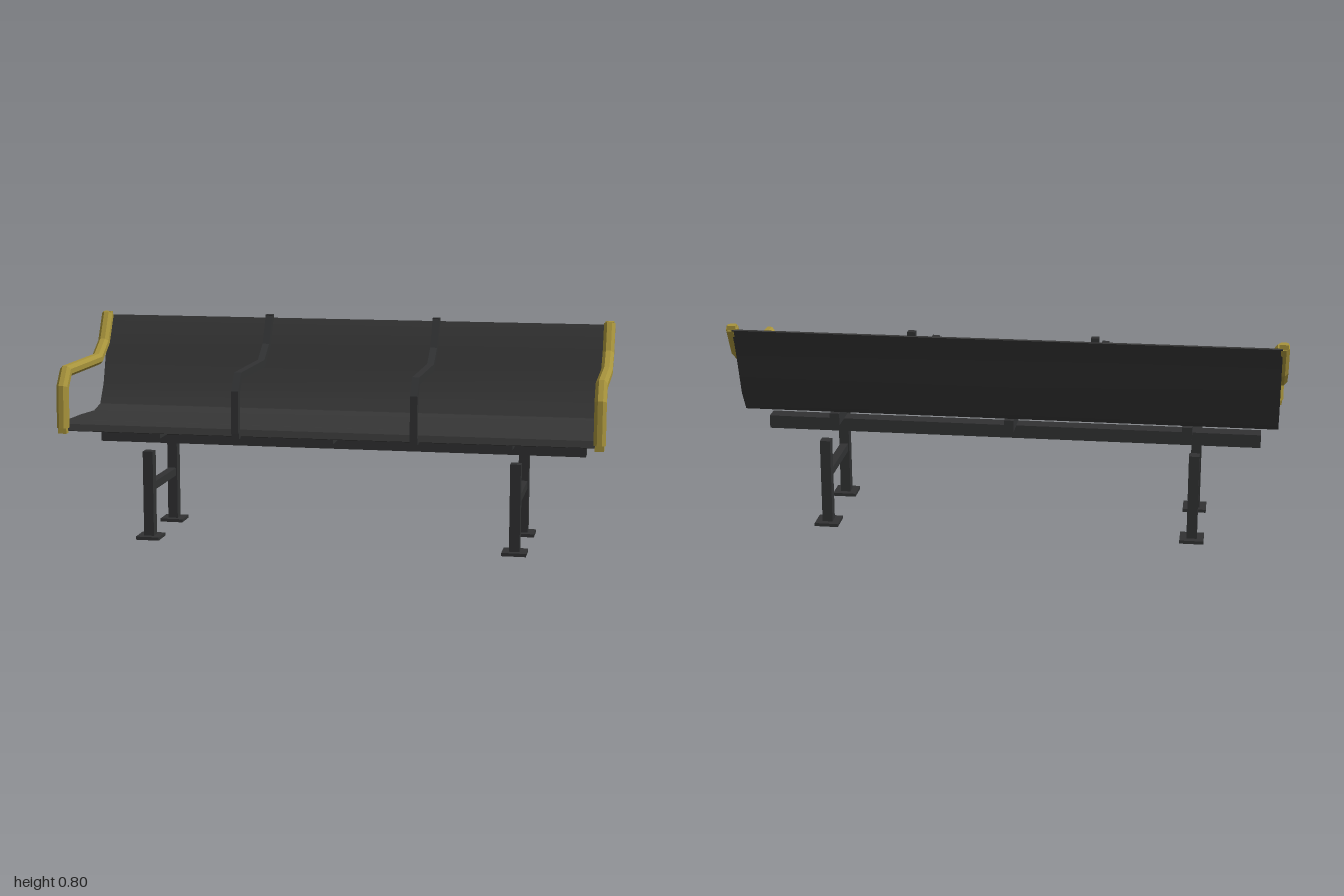
import * as THREE from 'three';
import { toCreasedNormals } from 'three/addons/utils/BufferGeometryUtils.js';

// Sweeps a convex section [normal, x] along a path of [z, y] points with mitred corners.
function sweep(path, section, crease = 0) {
  const dir = (a, b) => new THREE.Vector2(b[0] - a[0], b[1] - a[1]).normalize();
  const rings = path.map((p, i) => {
    const d0 = dir(path[Math.max(i - 1, 0)], path[Math.max(i, 1)]);
    const last = path.length - 1;
    const d1 = dir(path[Math.min(i, last - 1)], path[Math.min(i + 1, last)]);
    const t = d0.clone().add(d1).normalize();
    const mitre = 1 / t.dot(d1);
    return section.map(([a, b]) => [b, p[1] - t.x * a * mitre, p[0] + t.y * a * mitre]);
  });
  const pos = [];
  const tri = (...corners) => corners.forEach((c) => pos.push(...c));
  const n = section.length;
  for (let i = 0; i < rings.length - 1; i++) {
    for (let j = 0; j < n; j++) {
      const k = (j + 1) % n;
      tri(rings[i][j], rings[i][k], rings[i + 1][k]);
      tri(rings[i][j], rings[i + 1][k], rings[i + 1][j]);
    }
  }
  const first = rings[0], end = rings[rings.length - 1];
  for (let j = 1; j < n - 1; j++) {
    tri(first[0], first[j + 1], first[j]);
    tri(end[0], end[j], end[j + 1]);
  }
  const geo = new THREE.BufferGeometry();
  geo.setAttribute('position', new THREE.Float32BufferAttribute(pos, 3));
  if (crease) return toCreasedNormals(geo, crease);
  geo.computeVertexNormals();
  return geo;
}

const rect = (a, b) => [[a, -b], [a, b], [-a, b], [-a, -b]];

export function createModel() {
  const bench = new THREE.Group();
  bench.name = 'bench';

  const gold = new THREE.MeshStandardMaterial({ color: 0xa8943c });
  gold.name = 'gold';
  const seatGrey = new THREE.MeshStandardMaterial({ color: 0x363636 });
  seatGrey.name = 'seat grey';
  const frameGrey = new THREE.MeshStandardMaterial({ color: 0x313233 });
  frameGrey.name = 'frame grey';

  const add = (name, geo, material, x = 0, y = 0, z = 0) => {
    const mesh = new THREE.Mesh(geo, material);
    mesh.name = name;
    mesh.position.set(x, y, z);
    bench.add(mesh);
  };
  const box = (name, mat, w, h, d, x, y, z) => add(name, new THREE.BoxGeometry(w, h, d), mat, x, y, z);

  // Curved seat and back shell
  const shell = [
    [0.266, 0.41], [0.257, 0.432], [0.235, 0.443], [0.085, 0.439], [-0.072, 0.43],
    [-0.148, 0.446], [-0.195, 0.52], [-0.235, 0.648], [-0.259, 0.722], [-0.289, 0.782],
  ];
  add('seatShell', sweep(shell, rect(0.0035, 0.975), 0.6), seatGrey);

  // Gold end arms and slim dark divider arms share one path
  const armPath = [
    [0.275, 0.422], [0.27, 0.572], [0.23, 0.626], [-0.131, 0.626], [-0.216, 0.682], [-0.273, 0.787],
  ];
  const r = 0.021, c = 0.009;
  const octagon = [[r, -c], [r, c], [c, r], [-c, r], [-r, c], [-r, -c], [-c, -r], [c, -r]];
  const endArm = sweep(armPath, octagon);
  const divider = sweep(armPath, rect(0.013, 0.013));
  for (const s of [-1, 1]) {
    add('endArm', endArm, gold, s * 0.978);
    box('endArmLowerTab', gold, 0.032, 0.026, 0.025, s * 0.978, 0.415, 0.2755);
    box('endArmUpperTab', gold, 0.032, 0.024, 0.026, s * 0.978, 0.785, -0.275);
    add('dividerArm', divider, frameGrey, s * 0.325);
    box('dividerLowerTab', frameGrey, 0.028, 0.026, 0.025, s * 0.325, 0.415, 0.2705);
    box('dividerUpperTab', frameGrey, 0.028, 0.024, 0.026, s * 0.325, 0.785, -0.275);
  }

  // Long beam and the cross supports under the seat
  box('beam', frameGrey, 1.834, 0.049, 0.06, 0, 0.3565, -0.01);
  for (const x of [-0.65, 0, 0.65]) {
    box('seatSupport', frameGrey, 0.036, 0.045, 0.32, x, 0.403, 0.04);
  }

  // Leg frames: two posts with foot plates, joined by a rail
  for (const x of [-0.68, 0.68]) {
    for (const z of [0.18, -0.14]) {
      box('leg', frameGrey, 0.038, 0.318, 0.04, x, 0.171, z);
      box('footPlate', frameGrey, 0.088, 0.012, 0.088, x, 0.006, z);
    }
    box('legRail', frameGrey, 0.03, 0.03, 0.28, x, 0.195, 0.02);
  }

  return bench;
}
